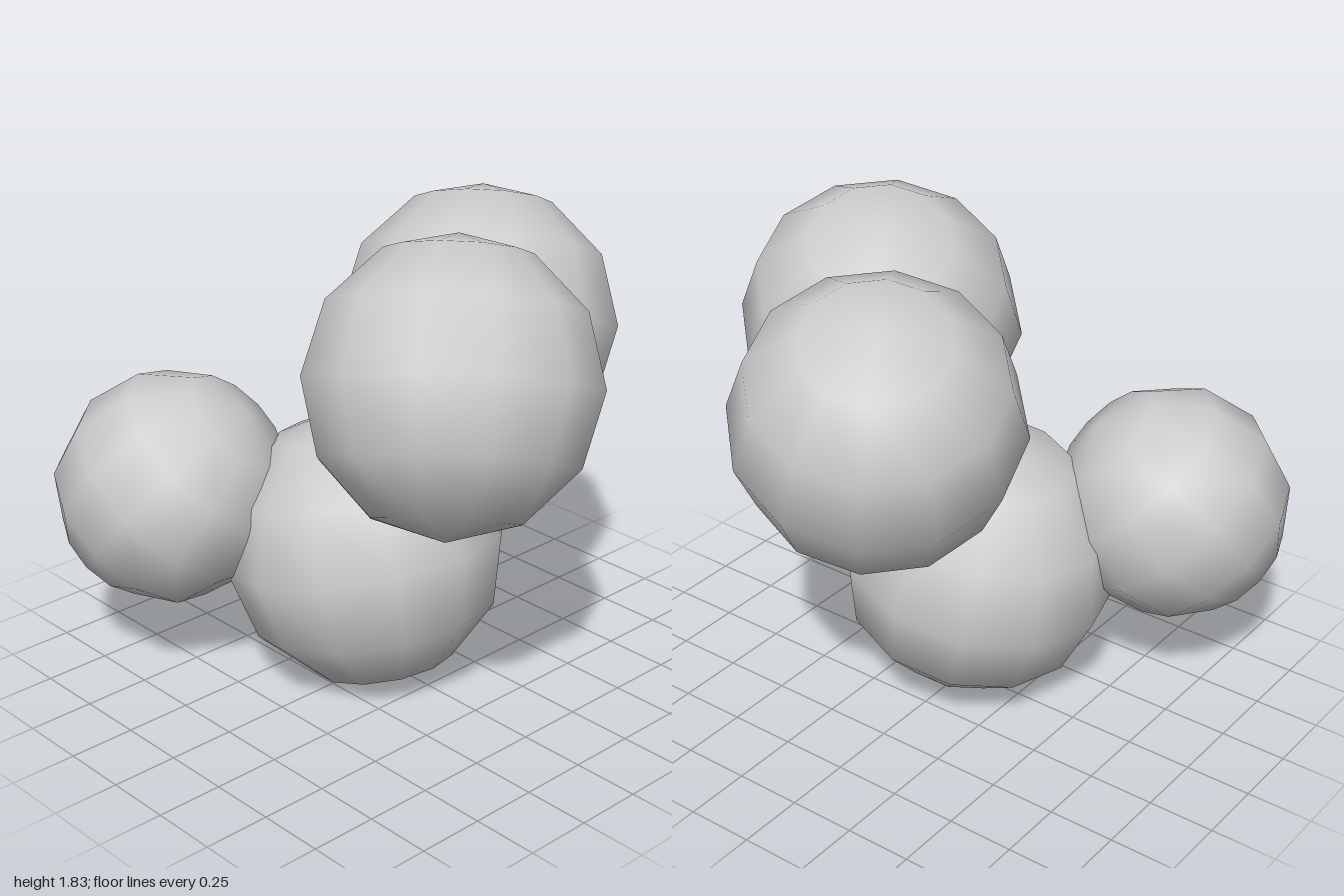
import * as THREE from 'three';

// One low-poly ball with smooth normals; "side" and "pole" are the directions
// of its first meridian and of its top pole.
function ball(name, radius, position, side, pole) {
  const y = new THREE.Vector3(...pole).normalize();
  const x = new THREE.Vector3(...side);
  x.addScaledVector(y, -x.dot(y)).normalize();
  const z = new THREE.Vector3().crossVectors(x, y);

  const mesh = new THREE.Mesh(
    new THREE.SphereGeometry(radius, 12, 6),
    new THREE.MeshStandardMaterial({ color: 0xcccccc })
  );
  mesh.name = name;
  mesh.quaternion.setFromRotationMatrix(new THREE.Matrix4().makeBasis(x, y, z));
  mesh.position.set(...position);
  return mesh;
}

export function createModel() {
  const group = new THREE.Group();
  group.name = 'ballCluster';

  // The two upper balls share one tilt
  const upperSide = [0.933, -0.36, 0.04];
  const upperPole = [0.347, 0.89, -0.3];

  group.add(
    ball('baseBall', 0.523, [-0.06, 0.513, -0.022], [1, 0, 0], [0, 0.972, -0.233]),
    ball('upperFrontBall', 0.523, [-0.135, 1.312, 0.489], upperSide, upperPole),
    ball('upperLeftBall', 0.523, [0.442, 1.27, 0.042], upperSide, upperPole),
    ball('smallBackBall', 0.436, [-0.527, 0.715, -0.568], [0.869, -0.08, -0.495], [0.4, 0.74, 0.55])
  );
  return group;
}
